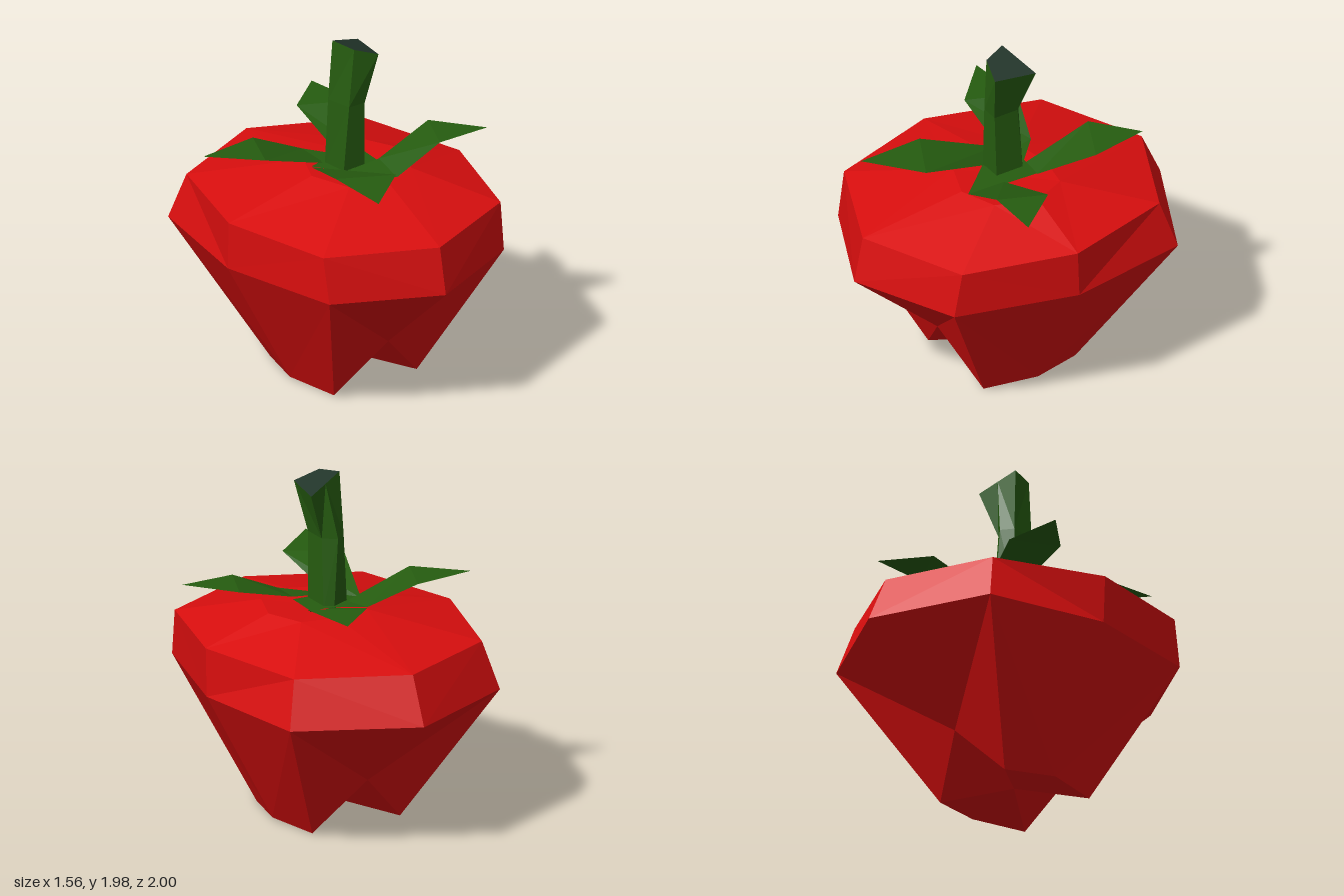
import * as THREE from 'three';

const flat = (name, color, side = THREE.FrontSide) => {
  const m = new THREE.MeshStandardMaterial({ color, flatShading: true, side });
  m.name = name;
  return m;
};

function meshFrom(name, tris, material) {
  const g = new THREE.BufferGeometry();
  g.setAttribute('position', new THREE.Float32BufferAttribute(tris.flat(2), 3));
  g.computeVertexNormals();
  const mesh = new THREE.Mesh(g, material);
  mesh.name = name;
  return mesh;
}

// Joins rings (listed bottom to top, counterclockwise from above), alternating the diagonals
function skin(rings) {
  const tris = [];
  for (let r = 0; r < rings.length - 1; r++) {
    const a = rings[r], b = rings[r + 1], n = a.length;
    for (let i = 0; i < n; i++) {
      const j = (i + 1) % n;
      if (i % 2 === 0) tris.push([a[i], a[j], b[j]], [a[i], b[j], b[i]]);
      else tris.push([a[i], a[j], b[i]], [a[j], b[j], b[i]]);
    }
  }
  return tris;
}

const fan = (center, ring, up) => ring.map((p, i) => {
  const q = ring[(i + 1) % ring.length];
  return up ? [center, p, q] : [center, q, p];
});

// Eight-point ring from its front-to-back right half, mirrored about x = cx
const mirrored = (half, cx = 0) => [
  ...half,
  ...half.slice(1, 4).reverse().map(([x, y, z]) => [2 * cx - x, y, z]),
];

export function createModel() {
  const group = new THREE.Group();
  group.name = 'bellPepper';
  const red = flat('red skin', 0xd90e0e);
  const green = flat('green stem', 0x265c10);
  const leafGreen = green.clone();
  leafGreen.side = THREE.DoubleSide;
  const cutGreen = flat('dark cut stem', 0x22352a);

  // Fruit: lobed feet, widest belt, shoulder, flat crown
  const feet = mirrored([[0, 0.31, 0.456], [0.28, 0.01, 0.335], [0.36, 0.025, 0.03], [0.28, 0.01, -0.265], [0, 0.31, -0.39]]);
  const belt = mirrored([[0, 0.81, 1], [0.59, 0.81, 0.725], [0.78, 0.81, 0.03], [0.67, 0.81, -0.685], [0, 0.81, -1]]);
  const shoulder = mirrored([[0, 1.08, 0.945], [0.6, 1.08, 0.68], [0.78, 1.09, 0.04], [0.6, 1.08, -0.61], [0, 1.08, -0.88]]);
  const crown = mirrored([[0.08, 1.215, 0.35], [0.29, 1.215, 0.27], [0.38, 1.22, 0.04], [0.29, 1.215, -0.16], [0.08, 1.215, -0.2]], 0.08);
  group.add(meshFrom('fruit', [
    ...skin([feet, belt, shoulder, crown]),
    ...fan([0, 0.08, 0.03], feet, false),
    ...fan([0.05, 1.2, 0.05], crown, true),
  ], red));

  // Leaves: low root points, then the raised level blade (x, z)
  const leaves = [
    { low: [[0.18, -0.08], [0.05, -0.09]], high: [[0.06, -0.49], [0.305, -0.69], [0.36, -0.35]] },
    { low: [[0.04, -0.08], [-0.08, -0.03]], high: [[-0.48, -0.03], [-0.73, -0.27], [-0.37, -0.305]], side: [-0.1, -0.22] },
    { low: [[-0.17, -0.03], [-0.05, 0.12]], high: [[0, 0.53], [-0.29, 0.77], [-0.3, 0.38]] },
    { low: [[-0.06, 0.12], [0.14, 0.345]], high: [[0.43, 0.345], [0.75, 0.345], [0.54, 0.08]], side: [0.17, 0.13] },
  ];
  leaves.forEach(({ low, high, side }, i) => {
    const [a, b] = low.map(([x, z]) => [x, 1.23, z]);
    const [c, tip, d] = high.map(([x, z]) => [x, 1.36, z]);
    const tris = [[c, tip, d]];
    if (side) {
      const s = [side[0], 1.25, side[1]];
      tris.push([a, b, s], [b, c, s], [s, c, d]);
    } else tris.push([a, b, c], [a, c, d]);
    group.add(meshFrom('leaf' + (i + 1), tris, leafGreen));
  });

  // Calyx: small plate joining the leaves under the stem
  const plate = [[-0.06, 0.12], [0.17, 0.13], [0.18, -0.08], [0.04, -0.09], [-0.17, -0.03]].map(([x, z]) => [x, 1.235, z]);
  group.add(meshFrom('calyx', fan([0.02, 1.235, 0.02], plate, true), leafGreen));

  // Stem: five-sided, kinked towards +x, with a slanted cut
  const base = [[-0.06, 0.12], [0.08, 0.12], [0.08, -0.05], [0.03, -0.08], [-0.08, -0.03]].map(([x, z]) => [x, 1.22, z]);
  const kink = [[-0.03, 0.13], [0.075, 0.13], [0.075, -0.02], [0, -0.07], [-0.065, -0.02]].map(([x, z]) => [x, 1.62, z]);
  const cut = [[0, 0.135], [0.14, 0.17], [0.175, -0.075], [0.06, -0.037], [-0.05, 0]]
    .map(([x, z]) => [x, 1.985 - 0.375 * (x + 0.05), z]);
  group.add(meshFrom('stem', skin([base, kink, cut]), green));
  group.add(meshFrom('stemCut', fan([0.07, 1.94, 0.05], cut, true), cutGreen));

  return group;
}
